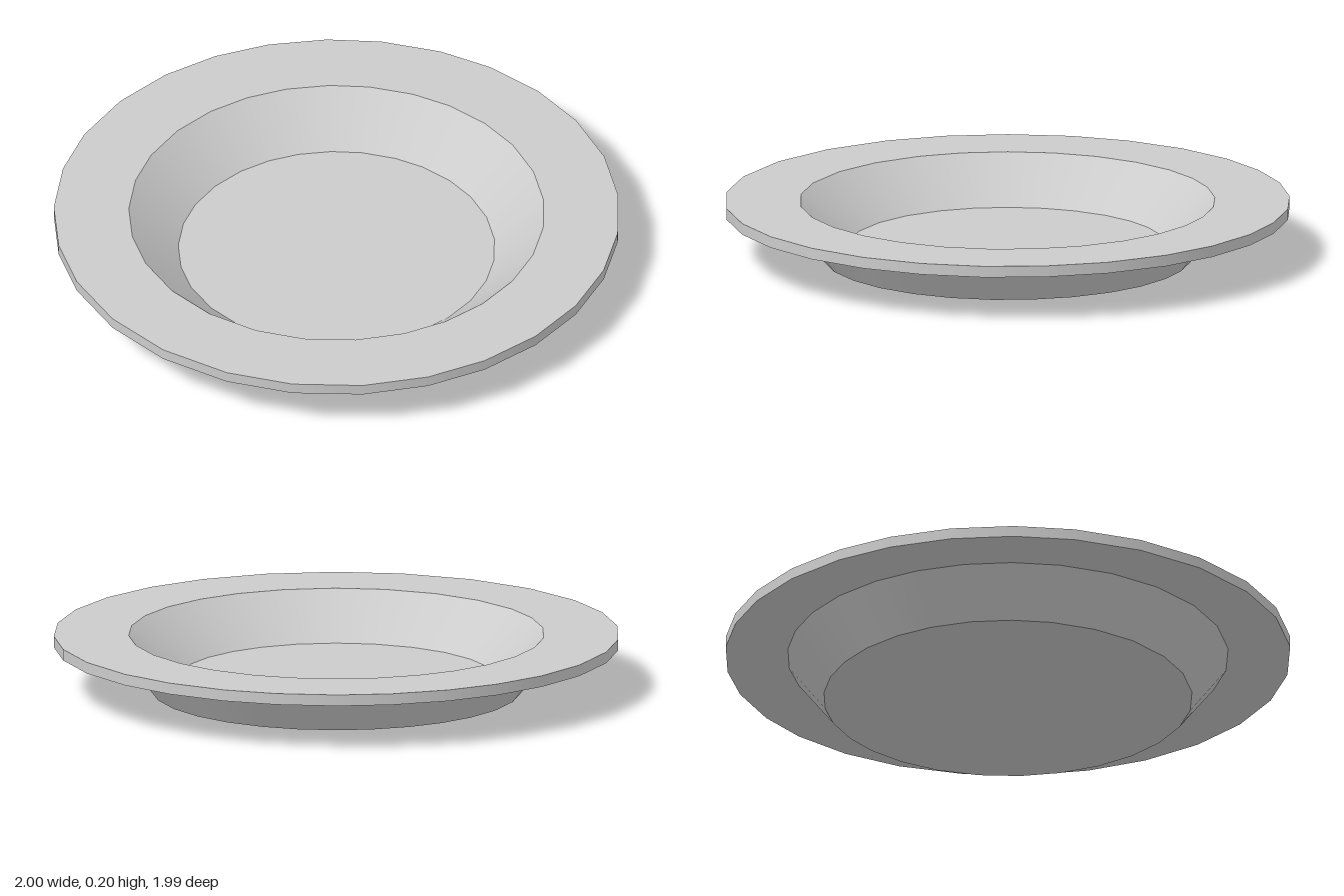
import * as THREE from 'three';

// Slightly uneven facet directions around the plate, in degrees from the front
const ANGLES = [
  6.9, 21.2, 34.8, 47.5, 60.6, 73.6, 86.6, 99.2, 111.7, 124.8, 138.2, 150.6, 163.2, 174.3,
  186.8, 197.9, 209.9, 221.3, 233.1, 245.8, 259, 271.1, 284, 296.8, 309.3, 323.6, 338.1, 353.1,
].map(THREE.MathUtils.degToRad);

// Cross-section running from the underside centre, over the rim, to the floor centre
const PROFILE = [
  [0, 0], [0.652, 0], [0.78, 0.165], [1, 0.165],
  [1, 0.205], [0.735, 0.205], [0.56, 0.045], [0, 0.045],
].map(([r, y]) => new THREE.Vector2(r, y));

const PARTS = ['base', 'outerWall', 'rimUnderside', 'rimEdge', 'rimTop', 'innerWall', 'floor'];

// One smooth band of the plate, with its columns turned to the uneven directions
function band(from, to) {
  const sides = ANGLES.length;
  const geometry = new THREE.LatheGeometry([from, to], sides);
  const { position, normal } = geometry.attributes;
  const up = new THREE.Vector3(0, 1, 0);
  const v = new THREE.Vector3();
  for (let i = 0; i < position.count; i++) {
    const column = Math.floor(i / 2);
    const turn = ANGLES[column % sides] - (column / sides) * Math.PI * 2;
    for (const attribute of [position, normal]) {
      v.fromBufferAttribute(attribute, i).applyAxisAngle(up, turn);
      attribute.setXYZ(i, v.x, v.y, v.z);
    }
  }
  return geometry;
}

export function createModel() {
  const plate = new THREE.Group();
  plate.name = 'plate';
  const material = new THREE.MeshStandardMaterial({ color: 0xcccccc });

  // Separate bands keep the corners of the cross-section sharp
  PARTS.forEach((name, i) => {
    const mesh = new THREE.Mesh(band(PROFILE[i], PROFILE[i + 1]), material);
    mesh.name = name;
    plate.add(mesh);
  });
  return plate;
}
